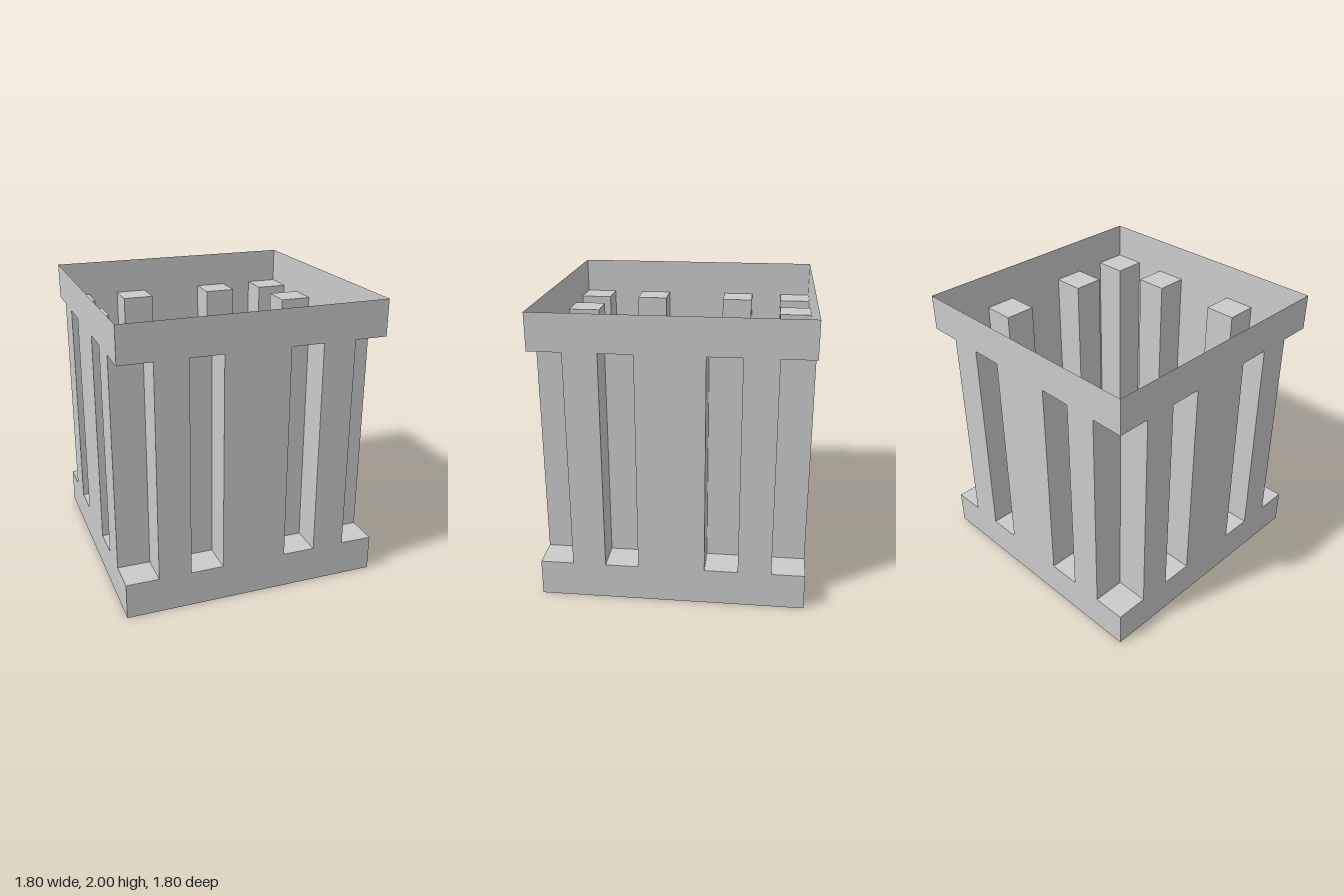
import * as THREE from 'three';

const HALF = 0.9;      // half width of the square shell
const SLOT = 0.225;    // width and depth of every recess
const LOW = 0.25, HIGH = 1.75, TOP = 2;
const MID = (LOW + HIGH) / 2, TALL = HIGH - LOW;
const INNER = HALF - SLOT;

const material = new THREE.MeshStandardMaterial({ color: 0xcccccc, side: THREE.DoubleSide, flatShading: true });

function addMesh(parent, name, geometry) {
  const mesh = new THREE.Mesh(geometry, material);
  mesh.name = name;
  parent.add(mesh);
  return mesh;
}

function addPlane(parent, name, w, h, [x, y, z], rx = 0, ry = 0) {
  const mesh = addMesh(parent, name, new THREE.PlaneGeometry(w, h));
  mesh.position.set(x, y, z);
  mesh.rotation.set(rx, ry, 0);
}

// Sheet wall with notched corners and two upright slots
function wallGeometry() {
  const points = (list) => list.map(([x, y]) => new THREE.Vector2(x, y));
  const shape = new THREE.Shape(points([
    [-HALF, 0], [HALF, 0], [HALF, LOW], [INNER, LOW], [INNER, HIGH], [HALF, HIGH],
    [HALF, TOP], [-HALF, TOP], [-HALF, HIGH], [-INNER, HIGH], [-INNER, LOW], [-HALF, LOW],
  ]));
  for (const x of [-2 * SLOT, SLOT]) {
    shape.holes.push(new THREE.Path(points([[x, LOW], [x, HIGH], [x + SLOT, HIGH], [x + SLOT, LOW]])));
  }
  return new THREE.ShapeGeometry(shape);
}

// Square channel sunk into the wall; a corner channel is open on two sides
function makeRecess(name, x0, corner) {
  const recess = new THREE.Group();
  recess.name = name;
  const xc = x0 + SLOT / 2, zc = HALF - SLOT / 2;
  addPlane(recess, 'recessBack', SLOT, TALL, [xc, MID, INNER]);
  addPlane(recess, 'recessLeftSide', SLOT, TALL, [x0, MID, zc], 0, Math.PI / 2);
  if (!corner) addPlane(recess, 'recessRightSide', SLOT, TALL, [x0 + SLOT, MID, zc], 0, -Math.PI / 2);
  addPlane(recess, 'recessCeiling', SLOT, SLOT, [xc, HIGH, zc], Math.PI / 2);
  addPlane(recess, 'recessFloor', SLOT, SLOT, [xc, LOW, zc], -Math.PI / 2);
  return recess;
}

export function createModel() {
  const model = new THREE.Group();
  model.name = 'slottedBox';

  // Four identical sides, open above and below
  ['front', 'left', 'back', 'right'].forEach((name, i) => {
    const side = new THREE.Group();
    side.name = name + 'Side';
    side.rotation.y = i * Math.PI / 2;
    addMesh(side, 'wall', wallGeometry()).position.z = HALF;
    side.add(makeRecess('slotRecess', -2 * SLOT, false));
    side.add(makeRecess('slotRecess', SLOT, false));
    side.add(makeRecess('cornerRecess', INNER, true));
    model.add(side);
  });
  return model;
}
